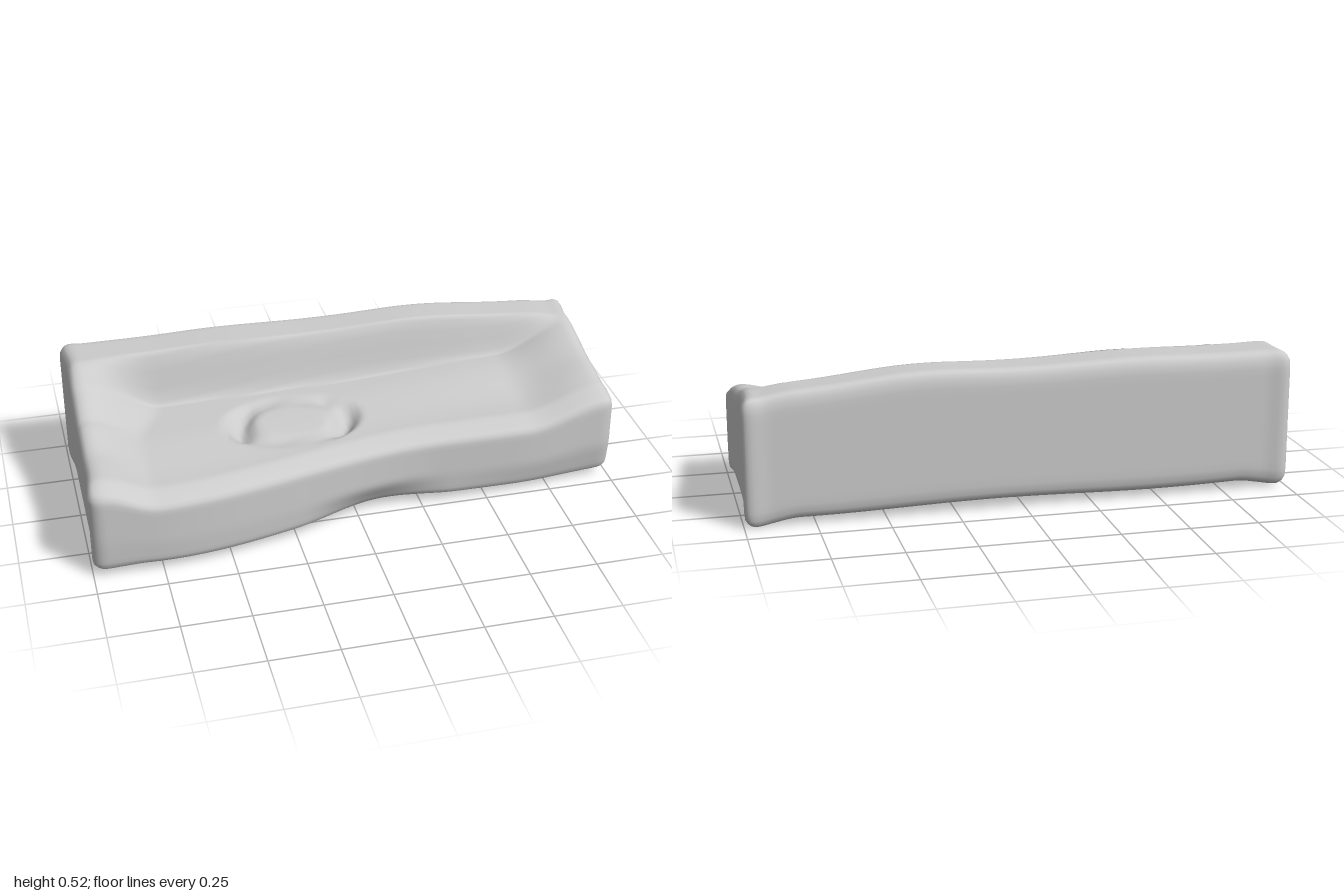
import * as THREE from 'three';
import { mergeVertices } from 'three/addons/utils/BufferGeometryUtils.js';

const { smoothstep, lerp, clamp } = THREE.MathUtils;
const ramp = (v, a, b) => (a < b ? smoothstep(v, a, b) : 1 - smoothstep(v, b, a));

// Front outline: a deep chaise on the -x end easing into a shallower seat
const frontEdge = (x) => 0.225 + 0.023 * ramp(x, 1, 0.6) + 0.174 * ramp(x, 0.32, -0.78);
const backEdge = (x) => -0.408 - 0.016 * ramp(Math.abs(x), 0.9, 1);

// Worn patch: a ragged ring, deepest at two pits on its left and right
const radius = (x, z) => Math.hypot((x + 0.2) / 0.26, (z - 0.03) / 0.17);
const ring = (x, z) => ramp(Math.abs(radius(x, z) - 0.75), 0.3, 0.05);
const pits = (x, z) => ring(x, z) * ramp(Math.abs(x + 0.2), 0.1, 0.2);
const ripple = (x, z) => 0.7 + 0.3 * Math.sin(x * 31 + z * 23);

// Upper surface: seat rising to the rear, sloping arms and a soft backrest
function topHeight(x, z) {
  const inset = frontEdge(x) - z;
  let seat = 0.302 + 0.018 * ramp(inset, 0.1, 0.4) + 0.025 * ramp(x, 0, 0.7) * ramp(z, 0.1, -0.2);
  seat -= (0.008 * ring(x, z) + 0.04 * pits(x, z)) * ripple(x, z);

  const leftSlope = 0.367 + 0.033 * ramp(z, 0.2, 0) + 0.075 * clamp(-z / 0.18, 0, 1);
  const rightSlope = 0.367 + 0.033 * ramp(z, 0.2, 0) + 0.065 * ramp(z, 0.04, -0.3);
  const corner = ramp(z, 0.08, -0.2);
  const leftArm = ramp(x, -0.75 + 0.1 * corner, -0.95);
  const rightArm = ramp(x, 0.66, 0.96);
  const h = lerp(lerp(seat, leftSlope, leftArm), rightSlope, rightArm);

  const crest = 0.518 - 0.005 * Math.cos(x * 7) * ramp(Math.abs(x), 0.9, 0.4)
    - 0.042 * ramp(x, 0.25, 1) - 0.018 * ramp(x, 0.8, 1);
  const leftEnd = ramp(x, -0.68, -0.95);
  const foot = -0.18 - 0.03 * ramp(x, -0.7, 0.7) + 0.05 * leftEnd;
  const brow = -0.24 - 0.025 * ramp(x, -0.6, 0.5);
  // The front lip rolls over softly
  return lerp(h, Math.max(h, crest), ramp(z, foot, brow)) - 0.022 * ramp(inset, 0.09, 0.01);
}

// Lower surface: slightly wavy, low at the corners, pitted under the patch
function bottomHeight(x, z) {
  const end = ramp(Math.abs(x), 0.8, 0.97);
  let y = 0.026 + 0.006 * Math.sin(x * 5 + 1) - 0.025 * end * ramp(z, -0.1, -0.36);
  y -= 0.01 * end * ramp(z, 0.3, 0.4);
  y += 0.015 * ramp(radius(x, z), 1, 0.7) + 0.08 * pits(x, z) * ripple(x, z);
  return y;
}

// Dense rounded block whose vertices are moved onto the surfaces above
function sofaGeometry() {
  const half = [1, 0.25, 0.42], r = 0.05;
  const box = new THREE.BoxGeometry(2, 0.5, 0.84, 110, 16, 60);
  box.deleteAttribute('normal');
  box.deleteAttribute('uv');
  const g = mergeVertices(box, 1e-4);
  const p = g.attributes.position;
  for (let i = 0; i < p.count; i++) {
    const v = [p.getX(i), p.getY(i), p.getZ(i)];
    const core = v.map((c, k) => clamp(c, r - half[k], half[k] - r));
    const off = new THREE.Vector3(...v.map((c, k) => c - core[k])).setLength(r);
    let x = core[0] + off.x;
    const t = (core[1] + off.y) / 0.5 + 0.5;
    const w = (core[2] + off.z) / 0.84 + 0.5;
    let z = lerp(backEdge(x), frontEdge(x), w);
    const y = lerp(bottomHeight(x, z), topHeight(x, z), t);
    // Undercut along the front base, strongest where the chaise turns
    const turn = ramp(Math.abs(x - 0.06), 0.32, 0);
    z -= ramp(w, 0.85, 1) * ramp(t, 0.45, 0) * (0.006 + 0.014 * ramp(x, 0.2, 0.9) + 0.04 * turn);
    // Slight inward sag of the end faces
    x *= 1 - 0.012 * ramp(Math.abs(x), 0.9, 1) * ramp(Math.abs(w - 0.5), 0.48, 0.3);
    p.setXYZ(i, x, y, z);
  }
  g.computeVertexNormals();
  return g;
}

export function createModel() {
  const model = new THREE.Group();
  model.name = 'chaiseSofa';
  const body = new THREE.Mesh(sofaGeometry(), new THREE.MeshStandardMaterial({ color: 0xcccccc }));
  body.name = 'upholsteredBody';
  model.add(body);
  return model;
}
